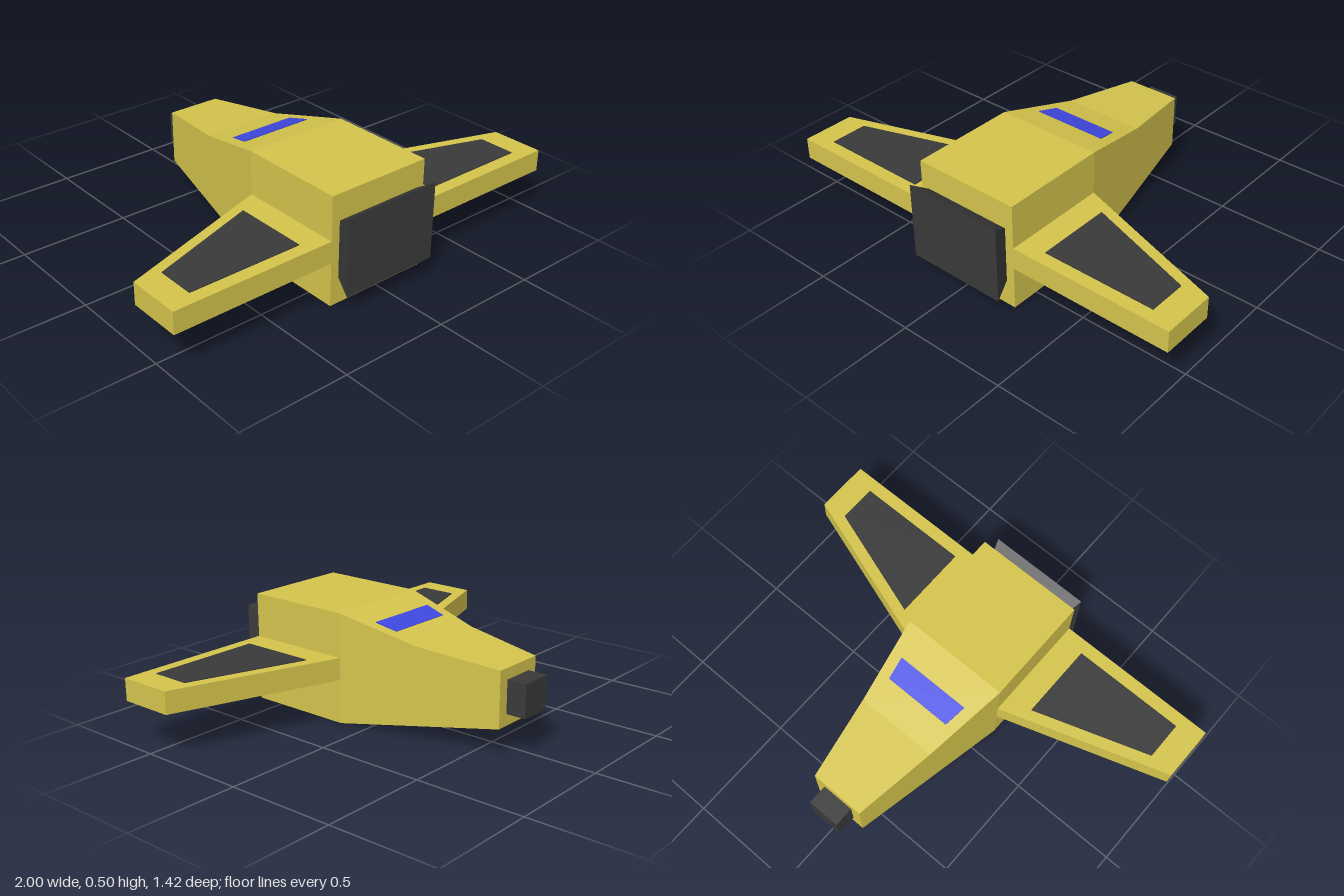
import * as THREE from 'three';

const paint = (color) => new THREE.MeshStandardMaterial({ color, flatShading: true });

// Closed body through rectangular sections [z, halfWidth, bottom, top], ordered by rising z.
function loft(sections) {
  const rings = sections.map(([z, w, y0, y1]) => [[-w, y0, z], [w, y0, z], [w, y1, z], [-w, y1, z]]);
  const pos = [];
  const quad = (a, b, c, d) => pos.push(...a, ...b, ...c, ...a, ...c, ...d);
  for (let i = 0; i + 1 < rings.length; i++) {
    const a = rings[i], b = rings[i + 1];
    for (let k = 0; k < 4; k++) quad(a[k], a[(k + 1) % 4], b[(k + 1) % 4], b[k]);
  }
  const first = rings[0];
  quad(first[3], first[2], first[1], first[0]);
  quad(...rings[rings.length - 1]);
  const geo = new THREE.BufferGeometry();
  geo.setAttribute('position', new THREE.Float32BufferAttribute(pos, 3));
  geo.computeVertexNormals();
  return geo;
}

// Flat slab from an [x, z] outline, lying at height y.
function slab(outline, side, y, thickness) {
  const shape = new THREE.Shape(outline.map(([x, z]) => new THREE.Vector2(side * x, -z)));
  return new THREE.ExtrudeGeometry(shape, { depth: thickness, bevelEnabled: false })
    .rotateX(-Math.PI / 2)
    .translate(0, y, 0);
}

export function createModel() {
  const model = new THREE.Group();
  const yellow = paint(0xd4c44c), dark = paint(0x3a3a3a), blue = paint(0x3f48e0);
  const add = (name, geo, mat) => {
    const mesh = new THREE.Mesh(geo, mat);
    mesh.name = name;
    model.add(mesh);
  };

  // Fuselage tapering toward -z
  add('fuselage', loft([
    [-0.62, 0.125, 0.125, 0.375],
    [-0.245, 0.1875, 0.0625, 0.4125],
    [0.13, 0.25, 0, 0.5],
    [0.63, 0.25, 0, 0.5],
  ]), yellow);

  // Cockpit window on the sloping roof
  add('cockpitWindow', loft([
    [-0.11, 0.158, 0.435, 0.447],
    [-0.01, 0.174, 0.459, 0.471],
  ]), blue);

  // Flared engine nozzle and the small block at the narrow end
  add('engineNozzle', loft([[0.63, 0.21, 0.12, 0.38], [0.71, 0.235, 0.075, 0.43]]), dark);
  add('noseBlock', loft([[-0.71, 0.075, 0.177, 0.325], [-0.62, 0.075, 0.177, 0.325]]), dark);

  // Swept wings with dark upper panels
  const wing = [[0.25, 0.13], [1, 0.38], [1, 0.63], [0.25, 0.63]];
  const panel = [[0.365, 0.22], [0.885, 0.395], [0.885, 0.57], [0.365, 0.57]];
  for (const [side, label] of [[1, 'left'], [-1, 'right']]) {
    add(label + 'Wing', slab(wing, side, 0.2, 0.1), yellow);
    add(label + 'WingPanel', slab(panel, side, 0.3, 0.004), dark);
  }
  return model;
}
